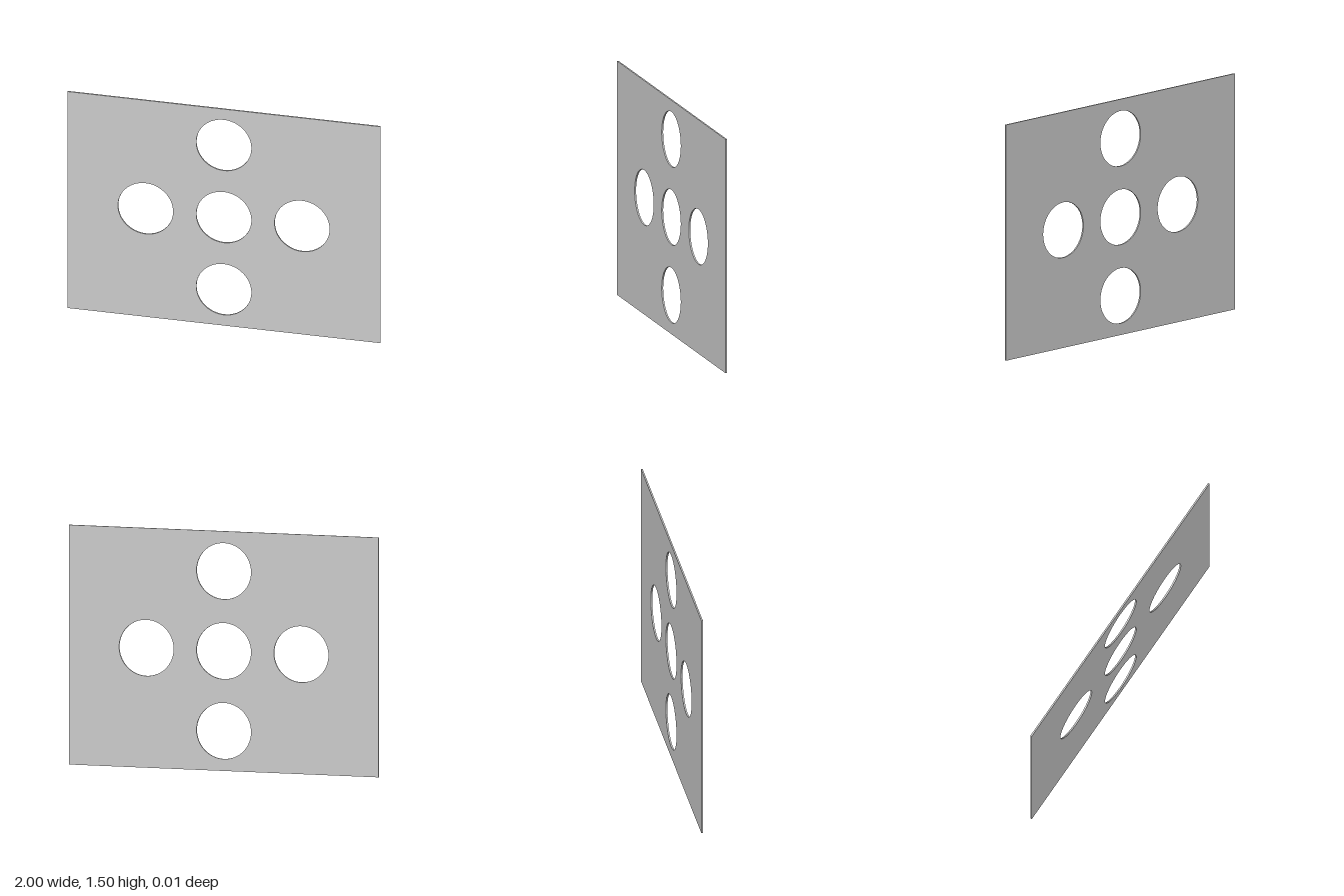
import * as THREE from 'three';
import { toCreasedNormals } from 'three/addons/utils/BufferGeometryUtils.js';

const WIDTH = 2, HEIGHT = 1.5, THICKNESS = 0.01;
const HOLE_RADIUS = 0.176, SPACING = 0.5;

export function createModel() {
  const group = new THREE.Group();
  group.name = 'perforatedPanel';

  // Rectangular plate outline
  const w = WIDTH / 2, h = HEIGHT / 2;
  const outline = new THREE.Shape([
    new THREE.Vector2(-w, -h),
    new THREE.Vector2(w, -h),
    new THREE.Vector2(w, h),
    new THREE.Vector2(-w, h),
  ]);

  // Five round holes in a cross
  for (const [i, j] of [[0, 0], [1, 0], [-1, 0], [0, 1], [0, -1]]) {
    const hole = new THREE.Path();
    hole.absarc(i * SPACING, j * SPACING, HOLE_RADIUS, 0, Math.PI * 2, true);
    outline.holes.push(hole);
  }

  // Thin plate, standing on the ground and centred in depth
  const geometry = new THREE.ExtrudeGeometry(outline, {
    depth: THICKNESS, bevelEnabled: false, curveSegments: 32,
  });
  geometry.translate(0, h, -THICKNESS / 2);

  const plate = new THREE.Mesh(
    toCreasedNormals(geometry, 0.6),
    new THREE.MeshStandardMaterial({ color: 0xcccccc }),
  );
  plate.name = 'plate';
  group.add(plate);
  return group;
}
